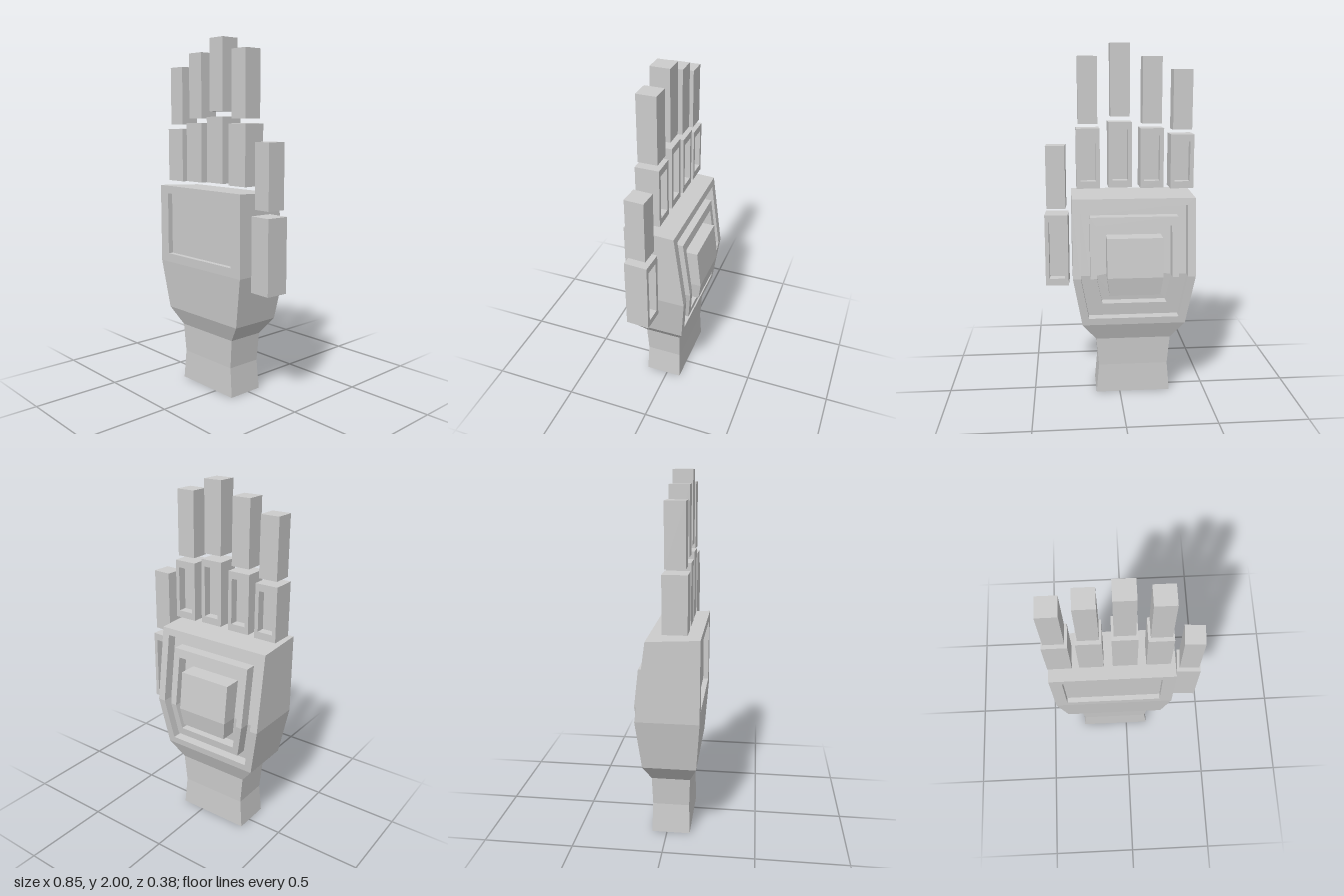
import * as THREE from 'three';

const CX = -0.078; // middle of palm and wrist
const material = new THREE.MeshStandardMaterial({ color: 0xcccccc, flatShading: true });

// Mesh from a list of planar polygons, corners counter-clockwise
function facesMesh(name, faces) {
  const pos = [];
  for (const f of faces)
    for (let i = 1; i < f.length - 1; i++) pos.push(...f[0], ...f[i], ...f[i + 1]);
  const geo = new THREE.BufferGeometry();
  geo.setAttribute('position', new THREE.Float32BufferAttribute(pos, 3));
  geo.computeVertexNormals();
  const mesh = new THREE.Mesh(geo, material);
  mesh.name = name;
  return mesh;
}

// Quads joining each loop to the next, going inward
function chain(...loops) {
  const faces = [];
  for (let k = 0; k < loops.length - 1; k++) {
    const a = loops[k], b = loops[k + 1], n = a.length;
    for (let i = 0; i < n; i++) {
      const j = (i + 1) % n;
      faces.push([a[i], a[j], b[j], b[i]]);
    }
  }
  return faces;
}

// Depth of the bent back of the hand
const backZ = y => y > 0.72
  ? -0.155 + 0.06 * (y - 0.72) / 0.44
  : -0.125 - 0.03 * (y - 0.435) / 0.285;

// Six-cornered loop lying on the back of the hand, shifted by lift in z
function backLoop(top, mid, bottom, halfTop, halfBottom, lift) {
  const rows = [[top, halfTop], [mid, halfTop], [bottom, halfBottom]];
  const left = rows.map(([y, h]) => [CX + h, y, backZ(y) + lift]);
  const right = rows.map(([y, h]) => [CX - h, y, backZ(y) + lift]);
  return [...left, ...right.reverse()];
}

// Rectangle facing +z (dir 1) or -z (dir -1)
const rect = (x0, x1, y0, y1, z, dir) => dir > 0
  ? [[x0, y1, z], [x0, y0, z], [x1, y0, z], [x1, y1, z]]
  : [[x1, y1, z], [x1, y0, z], [x0, y0, z], [x0, y1, z]];

function createHand() {
  const hand = new THREE.Group();
  hand.name = 'hand';

  // Wrist and palm shell: y, half width, front z, back z, back y
  const sections = [
    [0, 0.215, 0.13, -0.085],
    [0.17, 0.2, 0.125, -0.08],
    [0.335, 0.215, 0.13, -0.085],
    [0.435, 0.295, 0.17, -0.125],
    [0.72, 0.346, 0.19, -0.155],
    [1.175, 0.346, 0.19, -0.095, 1.16],
  ].map(([y, h, f, b, yb = y]) =>
    [[CX - h, y, f], [CX + h, y, f], [CX + h, yb, b], [CX - h, yb, b]]);
  const wrist = chain(...sections.slice(0, 4));
  wrist.push([...sections[0]].reverse());
  hand.add(facesMesh('wrist', wrist));

  // Upper spans leave the recessed front and back panels open
  const palm = chain(...sections.slice(3)).filter((f, i) => ![2, 4, 6].includes(i));
  palm.push(sections[5]);
  hand.add(facesMesh('palm', palm));

  // Front panel with shallow rectangular recess
  const floor = rect(-0.355, 0.195, 0.77, 1.13, 0.16, 1);
  hand.add(facesMesh('palmPanel', [
    ...chain(
      rect(CX - 0.346, CX + 0.346, 0.72, 1.175, 0.19, 1),
      rect(-0.355, 0.195, 0.77, 1.13, 0.19, 1),
      floor),
    floor]));

  // Back of the hand: rim, recess, raised ring and central block
  const DEEP = 0.06, RAISE = -0.004;
  const outline = backLoop(1.16, 0.72, 0.435, 0.346, 0.295, 0);
  const opening = lift => backLoop(1.12, 0.72, 0.475, 0.302, 0.257, lift);
  const ringOuter = lift => backLoop(1.06, 0.72, 0.525, 0.248, 0.212, lift);
  const ringInner = lift => backLoop(1.01, 0.72, 0.57, 0.212, 0.182, lift);
  const blockBase = backLoop(0.95, 0.73, 0.625, 0.156, 0.142, DEEP);
  const blockTop = blockBase.map(([x, y], i) => [x, y, [-0.165, -0.19, -0.175][i < 3 ? i : 5 - i]]);
  hand.add(facesMesh('backRim', chain(outline, opening(0), opening(DEEP), ringOuter(DEEP))));
  hand.add(facesMesh('backRing',
    chain(ringOuter(DEEP), ringOuter(RAISE), ringInner(RAISE), ringInner(DEEP), blockBase)));
  const t = blockTop;
  hand.add(facesMesh('backBlock', [
    ...chain(blockBase, blockTop),
    [t[0], t[1], t[4], t[5]], [t[1], t[2], t[3], t[4]]]));
  return hand;
}

// Lower finger segment: box with a recess in its back
function lowerSegment(y0, y1) {
  const h = 0.066, w = 0.044, e = 0.04;
  const front = rect(-h, h, y0, y1, h, -1);
  const floor = rect(-w, w, y0 + e, y1 - e, -h + 0.05, -1);
  return facesMesh('lowerSegment', [
    [...front].reverse(),
    ...chain(front, rect(-h, h, y0, y1, -h, -1), rect(-w, w, y0 + e, y1 - e, -h, -1), floor),
    floor]);
}

// Finger of two segments
function finger(name, x, [a0, a1, b0, b1], turn = 0) {
  const g = new THREE.Group();
  g.name = name;
  const upper = new THREE.Mesh(new THREE.BoxGeometry(0.108, b1 - b0, 0.108), material);
  upper.name = 'upperSegment';
  upper.position.y = (b0 + b1) / 2;
  g.add(lowerSegment(a0, a1), upper);
  g.position.set(x, 0, 0.059);
  g.rotation.y = turn;
  return g;
}

export function createModel() {
  const model = new THREE.Group();
  model.name = 'blockHand';
  model.add(
    createHand(),
    finger('littleFinger', -0.36, [1.2, 1.505, 1.53, 1.86]),
    finger('ringFinger', -0.188, [1.205, 1.54, 1.565, 1.93]),
    finger('middleFinger', -0.008, [1.21, 1.575, 1.605, 2]),
    finger('indexFinger', 0.172, [1.205, 1.54, 1.565, 1.93]),
    finger('thumb', 0.353, [0.64, 1.055, 1.09, 1.445], -0.055));
  return model;
}
